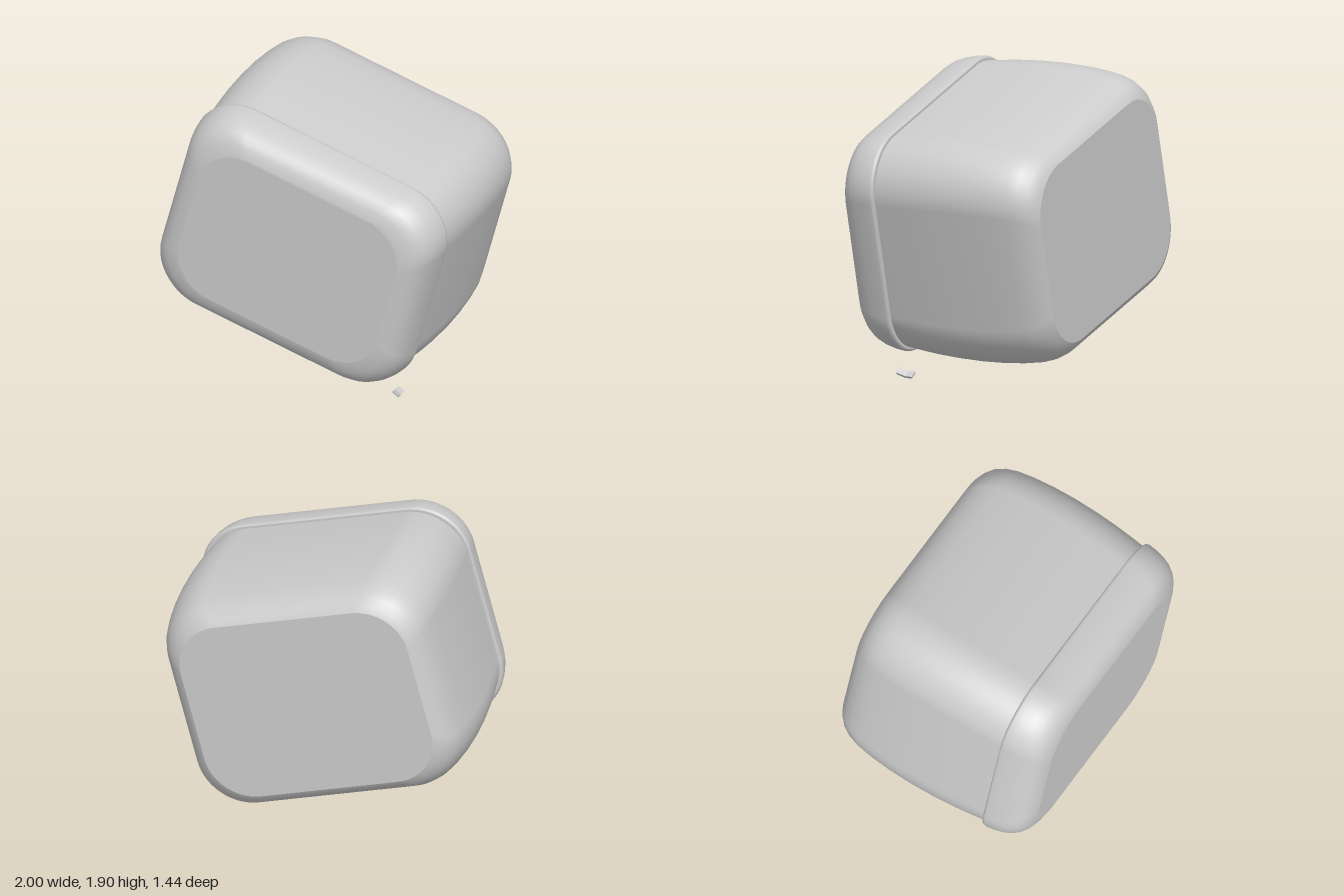
import * as THREE from 'three';

const material = new THREE.MeshStandardMaterial({ color: 0xcccccc });
const A = 0.917, B = 0.757, R = 0.35, TILT = -0.256, CENTRE_Y = 1.017;

// Rounded rectangle, counter-clockwise, pulled in by d from the widest outline
function outline(d) {
  const a = A - d, b = B - d, r = R - 0.3 * d, pts = [], n = 14;
  const corners = [[1, 1], [-1, 1], [-1, -1], [1, -1]];
  corners.forEach(([sx, sy], k) => {
    for (let i = 0; i <= n; i++) {
      const t = (k + i / n) * Math.PI / 2;
      pts.push([sx * (a - r) + r * Math.cos(t), sy * (b - r) + r * Math.sin(t)]);
    }
  });
  return pts;
}

// Loft through [z, inset] rings ordered from back to front, with flat caps
function shell(rings) {
  const pos = [], idx = [], n = outline(0).length;
  const addRing = ([z, d]) => {
    const start = pos.length / 3;
    for (const [x, y] of outline(d)) pos.push(x, y, z);
    return start;
  };
  const starts = rings.map(addRing);
  for (let i = 0; i < rings.length - 1; i++) {
    for (let j = 0; j < n; j++) {
      const k = (j + 1) % n, p = starts[i], q = starts[i + 1];
      idx.push(p + j, p + k, q + k, p + j, q + k, q + j);
    }
  }
  for (const [ring, front] of [[rings[0], false], [rings[rings.length - 1], true]]) {
    const s = addRing(ring), c = pos.length / 3;
    pos.push(0, 0, ring[0]);
    for (let j = 0; j < n; j++) {
      const k = (j + 1) % n;
      if (front) idx.push(c, s + j, s + k);
      else idx.push(c, s + k, s + j);
    }
  }
  const g = new THREE.BufferGeometry();
  g.setAttribute('position', new THREE.Float32BufferAttribute(pos, 3));
  g.setIndex(idx);
  g.computeVertexNormals();
  return g;
}

function part(name, geometry) {
  const mesh = new THREE.Mesh(geometry, material);
  mesh.name = name;
  return mesh;
}

export function createModel() {
  const model = new THREE.Group();
  model.name = 'tiltedContainer';

  // Box and lid share one tilt about the front axis
  const container = new THREE.Group();
  container.name = 'container';
  container.position.y = CENTRE_Y;
  container.rotation.z = TILT;
  model.add(container);

  container.add(part('body', shell([
    [-0.72, 0.145], [-0.7, 0.112], [-0.66, 0.075], [-0.6, 0.046], [-0.53, 0.028],
    [-0.42, 0.014], [-0.28, 0.004], [-0.12, 0], [0.05, 0.003], [0.2, 0.011],
    [0.33, 0.022], [0.42, 0.031],
  ])));

  // Recessed seam between box and lid
  container.add(part('seam', shell([[0.41, 0.045], [0.44, 0.045]])));

  container.add(part('lid', shell([
    [0.425, 0.02], [0.43, 0.011], [0.445, 0.008], [0.5, 0.014], [0.56, 0.026],
    [0.61, 0.043], [0.65, 0.067], [0.68, 0.096], [0.7, 0.13], [0.715, 0.172], [0.72, 0.197],
  ])));

  // Small bent clip lying beneath the lid
  const w = 0.052, t = 0.015;
  const profile = new THREE.Shape([
    [0.335, 0], [0.385, 0], [0.44, 0.024], [0.44, 0.024 + t], [0.383, t], [0.335, t],
  ].map(([z, y]) => new THREE.Vector2(z, y)));
  const clipGeometry = new THREE.ExtrudeGeometry(profile, { depth: w, bevelEnabled: false });
  clipGeometry.rotateY(-Math.PI / 2);
  clipGeometry.translate(w / 2, 0, 0);
  const clip = part('clip', clipGeometry);
  clip.rotation.z = -0.55;
  clip.position.set(0.613, 0.0136, 0);
  model.add(clip);

  return model;
}
